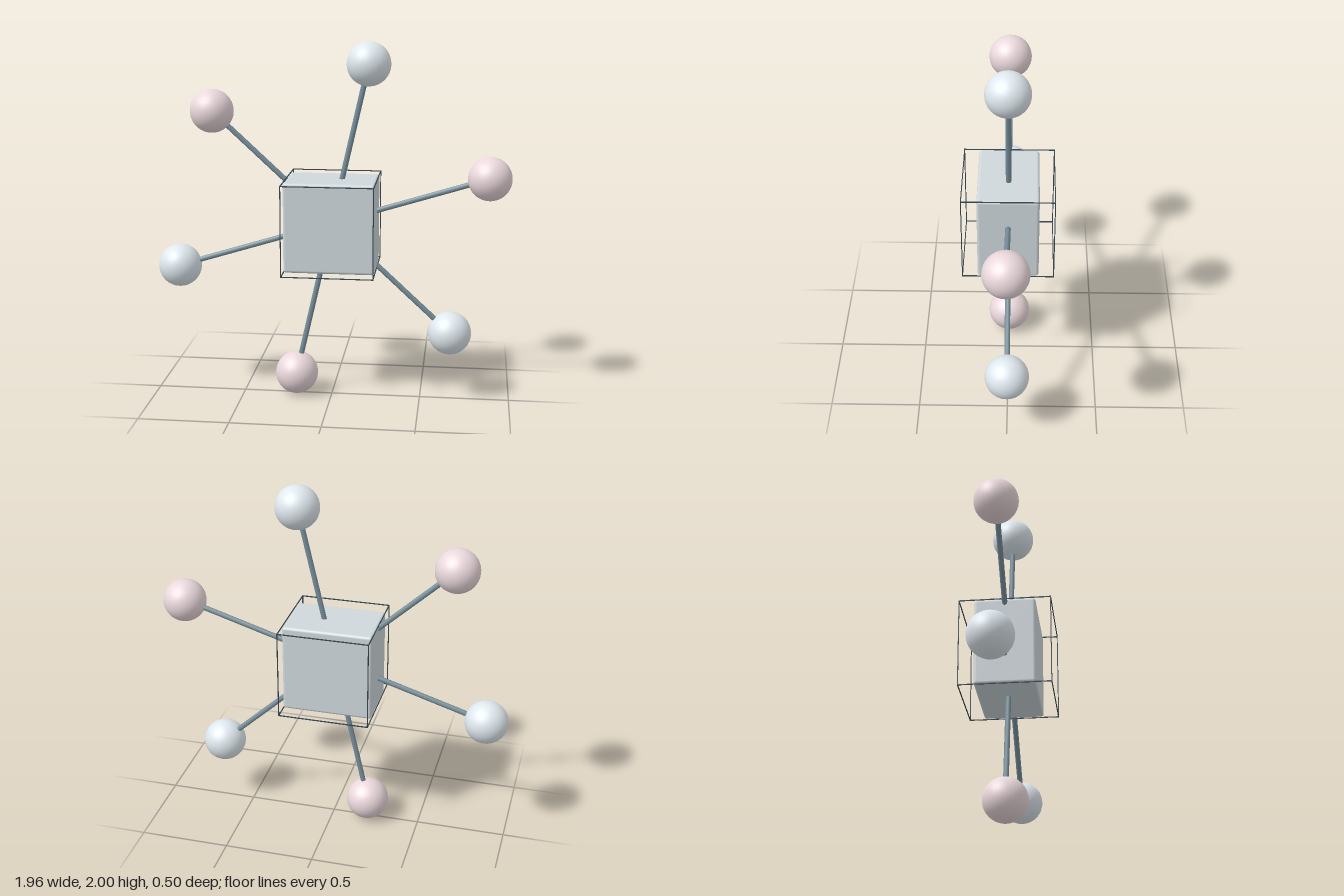
import * as THREE from 'three';
import { RoundedBoxGeometry } from 'three/addons/geometries/RoundedBoxGeometry.js';

const material = (color) => new THREE.MeshStandardMaterial({ color });

export function createModel() {
  const model = new THREE.Group();
  const body = new THREE.Group();
  body.position.y = 1;
  model.add(body);

  const add = (parent, name, geometry, mat, x = 0, y = 0, z = 0) => {
    const mesh = new THREE.Mesh(geometry, mat);
    mesh.name = name;
    mesh.position.set(x, y, z);
    parent.add(mesh);
    return mesh;
  };

  const steel = material(0x78909c);
  const dark = material(0x37474f);
  const pale = material(0xdfe8ee);
  const pink = material(0xead8dc);

  // Central block with softened edges
  add(body, 'core', new RoundedBoxGeometry(0.5, 0.5, 0.335, 3, 0.016), material(0xcfd8dc));

  // Thin cubic cage around the block: four bars along each axis
  const half = 0.25, bar = 0.005;
  const cage = new THREE.Group();
  cage.name = 'cage';
  body.add(cage);
  for (let axis = 0; axis < 3; axis++) {
    const size = [bar, bar, bar];
    size[axis] = 2 * half + bar;
    const geometry = new THREE.BoxGeometry(...size);
    for (const a of [-half, half]) for (const b of [-half, half]) {
      const p = [0, 0, 0];
      p[(axis + 1) % 3] = a;
      p[(axis + 2) % 3] = b;
      add(cage, 'cageBar', geometry, dark, ...p);
    }
  }

  // Six radial arms, each a rod ending in a ball
  const reach = 0.902, start = 0.2;
  const rod = new THREE.CylinderGeometry(0.015, 0.015, reach - start, 8);
  const ball = new THREE.SphereGeometry(0.12, 32, 24);
  for (let i = 0; i < 6; i++) {
    const arm = new THREE.Group();
    arm.name = 'arm';
    arm.rotation.z = 0.3 + i * Math.PI / 3 - Math.PI / 2;
    add(arm, 'rod', rod, steel, 0, (reach + start) / 2);
    add(arm, 'ball', ball, i % 2 ? pale : pink, 0, reach);
    body.add(arm);
  }
  return model;
}
